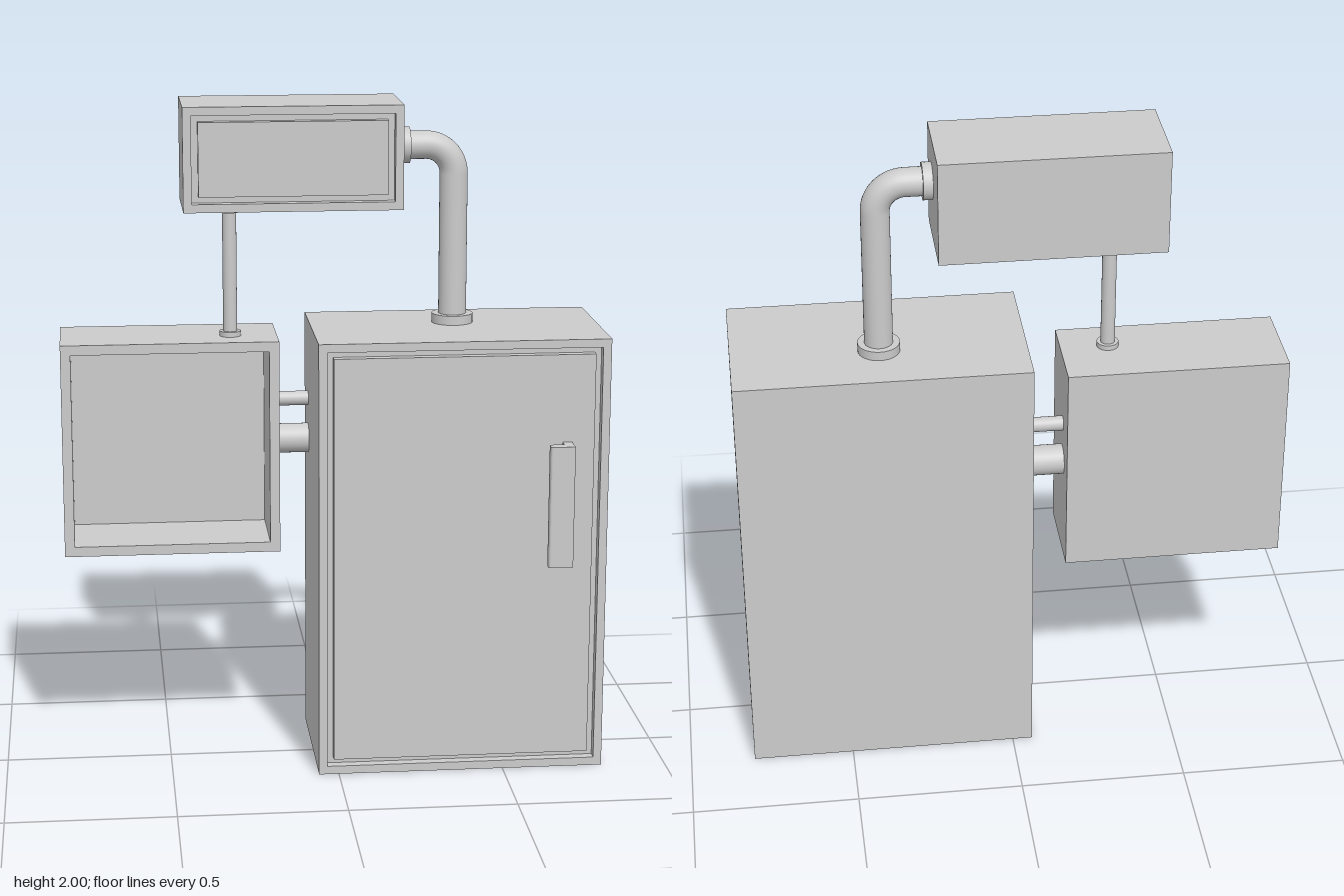
import * as THREE from 'three';

const mat = new THREE.MeshStandardMaterial({ color: 0xcccccc });

function add(parent, name, geometry, x = 0, y = 0, z = 0) {
  const mesh = new THREE.Mesh(geometry, mat);
  mesh.name = name;
  mesh.position.set(x, y, z);
  parent.add(mesh);
  return mesh;
}

// Box given by its min and max corners
function block(parent, name, [x0, y0, z0], [x1, y1, z1]) {
  return add(parent, name, new THREE.BoxGeometry(x1 - x0, y1 - y0, z1 - z0),
    (x0 + x1) / 2, (y0 + y1) / 2, (z0 + z1) / 2);
}

function rectangle(target, x0, y0, x1, y1) {
  target.moveTo(x0, y0);
  target.lineTo(x1, y0);
  target.lineTo(x1, y1);
  target.lineTo(x0, y1);
  target.closePath();
  return target;
}

// Cabinet open at the front: a rim of given wall thickness in front of a solid back
function cabinet(name, [x0, y0, z0], [x1, y1, z1], wall, depth) {
  const group = new THREE.Group();
  group.name = name;
  block(group, 'back', [x0, y0, z0], [x1, y1, z1 - depth]);
  const shape = rectangle(new THREE.Shape(), x0, y0, x1, y1);
  shape.holes.push(rectangle(new THREE.Path(), x0 + wall, y0 + wall, x1 - wall, y1 - wall));
  add(group, 'rim', new THREE.ExtrudeGeometry(shape, { depth, bevelEnabled: false }), 0, 0, z1 - depth);
  return group;
}

// Cabinet closed by a door panel with a narrow groove around it
function closedCabinet(name, min, max) {
  const group = cabinet(name, min, max, 0.025, 0.03);
  const inset = 0.045;
  block(group, 'doorPanel', [min[0] + inset, min[1] + inset, max[2] - 0.03],
    [max[0] - inset, max[1] - inset, max[2] - 0.003]);
  return group;
}

// Straight round bar between two points
function bar(parent, name, radius, from, to) {
  const a = new THREE.Vector3(...from), b = new THREE.Vector3(...to);
  const mesh = add(parent, name, new THREE.CylinderGeometry(radius, radius, a.distanceTo(b), 32));
  mesh.position.copy(a).add(b).multiplyScalar(0.5);
  mesh.quaternion.setFromUnitVectors(new THREE.Vector3(0, 1, 0), b.sub(a).normalize());
  return mesh;
}

export function createModel() {
  const model = new THREE.Group();
  model.name = 'electricalCabinets';

  // Cabinets
  const main = closedCabinet('mainCabinet', [-0.06, 0, -0.27], [0.805, 1.33, 0.21]);
  const upper = closedCabinet('upperBox', [-0.44, 1.69, -0.26], [0.21, 2, 0.02]);
  const open = cabinet('openBox', [-0.81, 0.65, -0.26], [-0.16, 1.3, 0.017], 0.03, 0.247);
  model.add(main, upper, open);

  // Door handle: hooked section, drawn as x against -z and extruded upward
  const hook = new THREE.Shape();
  hook.moveTo(0.665, -0.2);
  hook.lineTo(0.693, -0.2);
  hook.lineTo(0.693, -0.268);
  hook.lineTo(0.628, -0.268);
  hook.quadraticCurveTo(0.62, -0.268, 0.62, -0.26);
  hook.lineTo(0.62, -0.243);
  hook.quadraticCurveTo(0.62, -0.235, 0.628, -0.235);
  hook.lineTo(0.665, -0.235);
  hook.closePath();
  const handle = add(main, 'doorHandle',
    new THREE.ExtrudeGeometry(hook, { depth: 0.37, bevelEnabled: false, curveSegments: 4 }), 0, 0.65, 0);
  handle.rotation.x = -Math.PI / 2;

  // Elbow conduit from the main cabinet to the upper box
  const z = -0.087, px = 0.372, py = 1.868, bend = 0.085;
  const conduit = new THREE.Group();
  conduit.name = 'elbowConduit';
  model.add(conduit);
  bar(conduit, 'verticalPipe', 0.042, [px, 1.33, z], [px, py - bend, z]);
  bar(conduit, 'horizontalPipe', 0.042, [0.21, py, z], [px - bend, py, z]);
  add(conduit, 'elbow', new THREE.TorusGeometry(bend, 0.042, 32, 16, Math.PI / 2), px - bend, py - bend, z);
  bar(conduit, 'lowerFlange', 0.062, [px, 1.33, z], [px, 1.358, z]);
  bar(conduit, 'upperFlange', 0.054, [0.21, py, z], [0.238, py, z]);

  // Thin conduit from the open box to the upper box
  const thin = new THREE.Group();
  thin.name = 'thinConduit';
  model.add(thin);
  bar(thin, 'pipe', 0.021, [-0.3, 1.3, -0.09], [-0.3, 1.69, -0.09]);
  for (const y of [1.3, 1.675]) bar(thin, 'flange', 0.032, [-0.3, y, -0.09], [-0.3, y + 0.015, -0.09]);

  // Short links between the open box and the main cabinet
  for (const [y, r] of [[1.085, 0.022], [0.96, 0.045]])
    bar(model, 'linkPipe', r, [-0.165, y, -0.16], [-0.055, y, -0.16]);

  return model;
}
